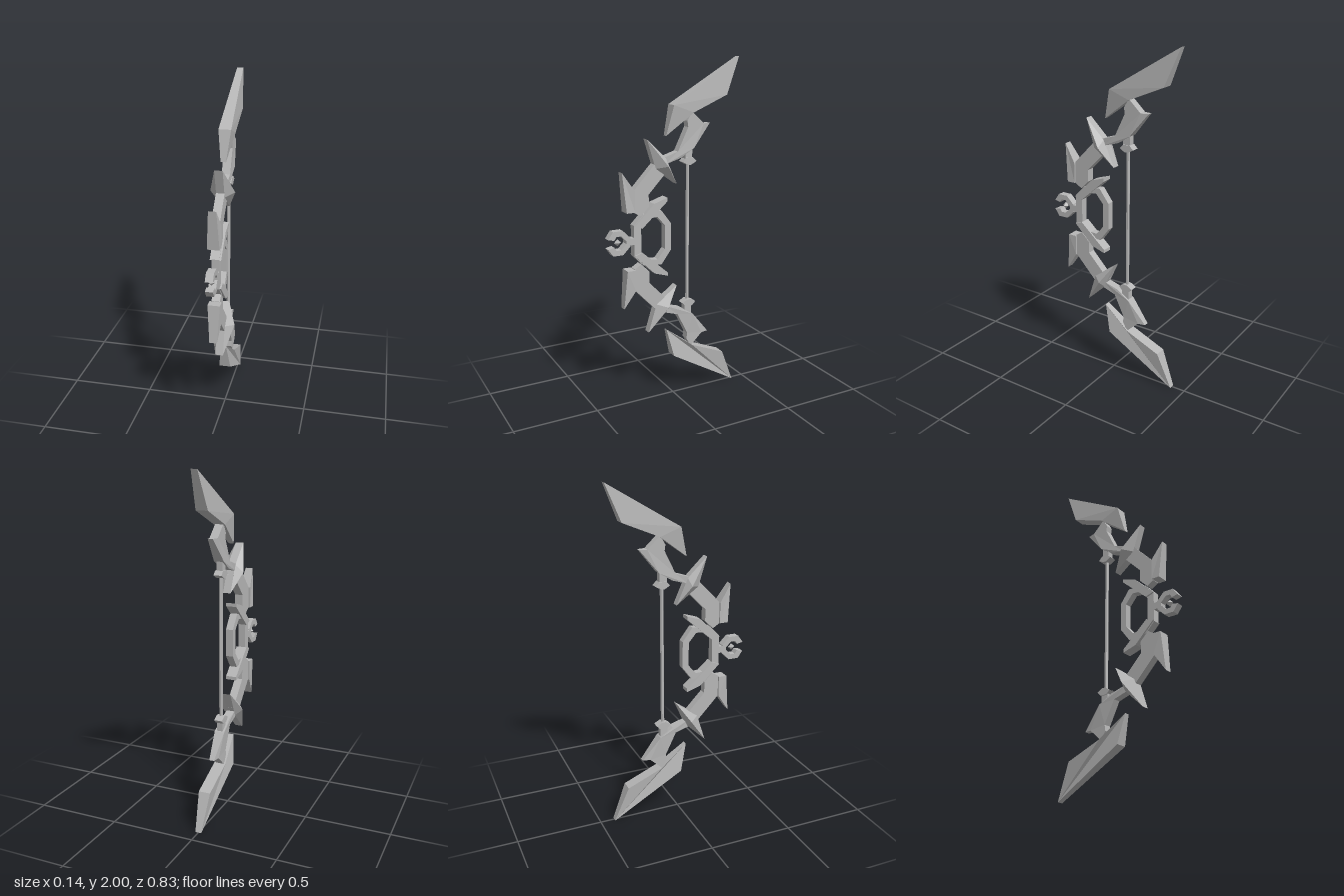
import * as THREE from 'three';

const steel = new THREE.MeshStandardMaterial({ color: 0xb6b6b6, flatShading: true });
steel.name = 'steel grey';

// Plate lying in the z-y plane. Points are [z, y, halfWidth?]; each point may have its own half width.
// An optional apex [z, y, halfWidth] turns both flat sides into pyramids.
function plate(name, outline, width, { hole = [], apex = null } = {}) {
  const wind = (pts, ccw) => {
    const v = pts.map(([z, y, w = width]) => Object.assign(new THREE.Vector2(z, y), { w }));
    return v.length && THREE.ShapeUtils.isClockWise(v) === ccw ? v.reverse() : v;
  };
  const rim = wind(outline, true);
  const inner = wind(hole, false);
  const all = [...rim, ...inner];
  const pos = [];
  const put = (p, side) => pos.push(side * p.w, p.y, p.x);

  // side faces
  if (apex) {
    const tip = { x: apex[0], y: apex[1], w: apex[2] };
    rim.forEach((a, i) => {
      const b = rim[(i + 1) % rim.length];
      put(a, -1); put(b, -1); put(tip, -1);
      put(b, 1); put(a, 1); put(tip, 1);
    });
  } else {
    for (const [a, b, c] of THREE.ShapeUtils.triangulateShape(rim, inner.length ? [inner] : [])) {
      put(all[a], -1); put(all[b], -1); put(all[c], -1);
      put(all[c], 1); put(all[b], 1); put(all[a], 1);
    }
  }
  // edge walls
  for (const loop of [rim, inner]) {
    loop.forEach((a, i) => {
      const b = loop[(i + 1) % loop.length];
      put(a, -1); put(a, 1); put(b, 1);
      put(a, -1); put(b, 1); put(b, -1);
    });
  }
  const geo = new THREE.BufferGeometry();
  geo.setAttribute('position', new THREE.Float32BufferAttribute(pos, 3));
  geo.computeVertexNormals();
  const mesh = new THREE.Mesh(geo, steel);
  mesh.name = name;
  return mesh;
}

const flip = (pts) => pts.map(([z, y, w]) => [z, 2 - y, w]);

// Parts of the upper limb: name, half width, outline, apex
const limbParts = [
  ['BladeTip', 0.035, [[-0.415, 2, 0.018], [0.01, 1.746], [0.05, 1.577, 0.015], [-0.115, 1.7], [-0.33, 1.79]]],
  ['BladeBracket', 0.024, [[-0.11, 1.705], [-0.185, 1.635], [-0.23, 1.635, 0.015], [-0.12, 1.5, 0.03],
    [-0.04, 1.45], [0.06, 1.42], [0.08, 1.455], [-0.02, 1.487], [-0.085, 1.62], [-0.08, 1.655]]],
  ['LimbArm', 0.024, [[0.257, 1.165], [0.257, 1.29], [0.1, 1.455], [0.03, 1.4], [0.165, 1.26], [0.165, 1.19], [0.215, 1.14]]],
  ['FrontFin', 0.035, [[0.325, 1.395, 0.022], [0.255, 1.29], [0.255, 1.168], [0.305, 1.168]]],
  ['LimbSpike', 0.023, [[0.172, 1.567], [0.055, 1.455], [-0.013, 1.303], [0.12, 1.4]], [0.063, 1.415, 0.07]],
  ['GripClasp', 0.032, [[0.257, 1.085], [0.135, 1.205], [0.05, 1.232], [0.05, 1.212], [0.21, 1.07]]],
  ['StringPost', 0.018, [[-0.07, 1.43], [-0.115, 1.43], [-0.115, 1.54], [-0.07, 1.56]]],
  ['StringCollar', 0.024, [[-0.053, 1.424], [-0.075, 1.447], [-0.117, 1.447], [-0.14, 1.424], [-0.105, 1.405], [-0.085, 1.405]]],
];

export function createModel() {
  const bow = new THREE.Group();
  bow.name = 'bow';

  // two mirrored limbs
  for (const side of ['upper', 'lower']) {
    const limb = new THREE.Group();
    limb.name = side + 'Limb';
    const place = side === 'upper' ? (p) => p : flip;
    for (const [name, width, outline, apex] of limbParts) {
      limb.add(plate(side + name, place(outline), width, { apex: apex ? place([apex])[0] : null }));
    }
    bow.add(limb);
  }

  // octagonal grip ring
  const mirrored = (half) => [...half, ...flip(half).reverse()];
  bow.add(plate('gripRing',
    mirrored([[0.257, 1.09], [0.2, 1.15], [0.085, 1.16], [0.025, 1.08]]), 0.022,
    { hole: mirrored([[0.213, 1.075], [0.18, 1.12], [0.11, 1.125], [0.063, 1.07]]) }));

  // open claw on the front of the grip
  bow.add(plate('frontClaw', mirrored([
    [0.28, 1.025], [0.325, 1.07], [0.385, 1.07], [0.415, 1.028],
    [0.378, 1.02], [0.365, 1.04], [0.337, 1.04], [0.305, 1.008]]), 0.022));
  bow.add(plate('clawStem', mirrored([[0.25, 1.02], [0.285, 1.02]]), 0.022));

  // small gem inside the claw
  const gem = new THREE.Mesh(new THREE.OctahedronGeometry(0.021), steel);
  gem.name = 'clawGem';
  gem.position.set(0, 1, 0.35);
  bow.add(gem);

  // bowstring
  const string = new THREE.Mesh(new THREE.CylinderGeometry(0.011, 0.011, 0.84, 6), steel);
  string.name = 'bowstring';
  string.position.set(0, 1, -0.095);
  bow.add(string);

  return bow;
}
